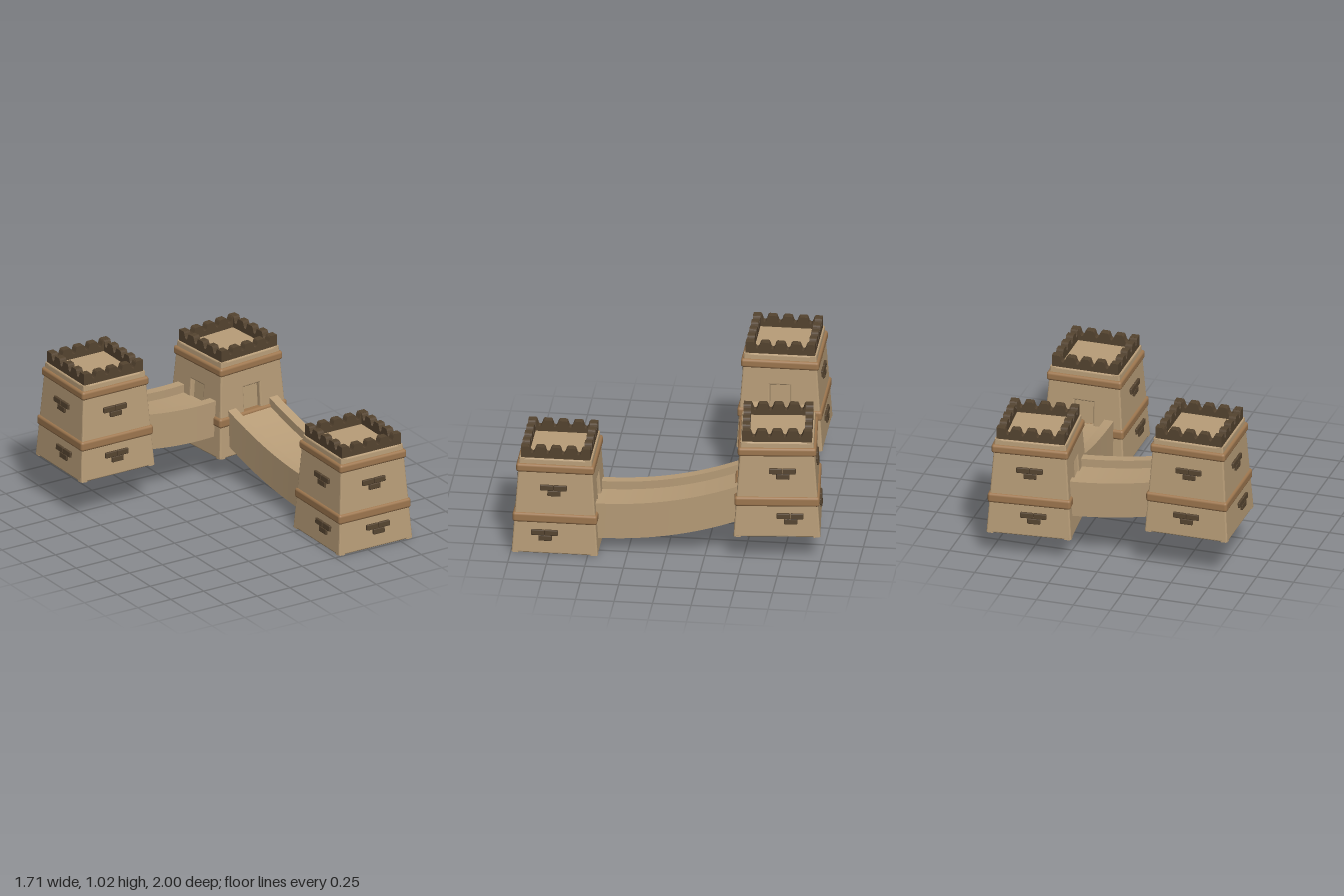
import * as THREE from 'three';
import { RoundedBoxGeometry } from 'three/addons/geometries/RoundedBoxGeometry.js';

const mat = (name, color, side = THREE.FrontSide) => {
  const m = new THREE.MeshStandardMaterial({ color, side });
  m.name = name;
  return m;
};

const BASE = 0.28, TOP = 0.235, H = 0.655;      // tower half widths and height
const SLOPE = Math.atan((BASE - TOP) / H);

export function createModel() {
  const sand = mat('sandstone', 0xb89d78, THREE.DoubleSide);
  const trim = mat('brown trim', 0x9e774f);
  const dark = mat('dark brick', 0x554430);

  const add = (parent, geo, material, name, x = 0, y = 0, z = 0) => {
    const mesh = new THREE.Mesh(geo, material);
    mesh.name = name;
    mesh.position.set(x, y, z);
    parent.add(mesh);
    return mesh;
  };

  // Tapered wall slab, with an optional doorway cut through it
  const wallGeometry = (door) => {
    const s = new THREE.Shape();
    s.moveTo(-BASE, 0).lineTo(BASE, 0).lineTo(TOP, H).lineTo(-TOP, H).closePath();
    if (door) {
      const h = new THREE.Path();
      h.moveTo(-0.065, 0.25).lineTo(-0.065, 0.445).lineTo(0.065, 0.445).lineTo(0.065, 0.25).closePath();
      s.holes.push(h);
    }
    const b = 0.01;
    const g = new THREE.ExtrudeGeometry(s, {
      depth: 0.03, bevelEnabled: true, bevelSize: b, bevelThickness: b, bevelOffset: -b, bevelSegments: 3,
    });
    return g.translate(0, 0, -0.04);
  };

  // Battlement wall with four scooped notches
  const battlementGeometry = () => {
    const s = new THREE.Shape();
    const top = 0.09, low = 0.045, w = 0.06;
    s.moveTo(0.225, 0).lineTo(0.225, top);
    let x = 0.18;
    for (let i = 0; i < 4; i++) {
      s.lineTo(x, top);
      s.bezierCurveTo(x - 0.016, top, x - 0.012, low, x - w / 2, low);
      s.bezierCurveTo(x - w + 0.012, low, x - w + 0.016, top, x - w, top);
      x -= w + 0.04;
    }
    s.lineTo(-0.225, top).lineTo(-0.225, 0).closePath();
    return new THREE.ExtrudeGeometry(s, { depth: 0.048, bevelEnabled: false, curveSegments: 6 });
  };

  const plainWall = wallGeometry(false), doorWall = wallGeometry(true);
  const battlement = battlementGeometry();
  const brick = new RoundedBoxGeometry(0.086, 0.038, 0.03, 2, 0.006);

  // Three bricks: two side by side, one below
  const brickGroup = (wall, x, y) => {
    const g = new THREE.Group();
    g.name = 'exposedBricks';
    g.position.set(x, y, 0);
    wall.add(g);
    add(g, brick, dark, 'brickLeft', -0.044, 0);
    add(g, brick, dark, 'brickRight', 0.044, 0);
    add(g, brick, dark, 'brickLower', 0.004, -0.037);
  };

  // sides run front, right (+x), back, left (-x); null marks a doorway,
  // otherwise the offsets of the upper and lower brick groups
  const tower = (name, [x, y, z], turn, sides) => {
    const t = new THREE.Group();
    t.name = name;
    t.position.set(x, y, z);
    t.rotation.y = turn;

    const inset = 0.032;
    const core = new THREE.CylinderGeometry((TOP - inset) * Math.SQRT2, (BASE - inset) * Math.SQRT2, H - 0.003, 4, 1);
    core.rotateY(Math.PI / 4);
    const flat = core.toNonIndexed();
    flat.computeVertexNormals();
    add(t, flat, sand, 'towerCore', 0, H / 2, 0);

    sides.forEach((bricks, k) => {
      const side = new THREE.Group();
      side.name = 'towerSide';
      side.rotation.y = k * Math.PI / 2;
      t.add(side);
      const wall = add(side, bricks ? plainWall : doorWall, sand, bricks ? 'wall' : 'wallWithDoorway', 0, 0, BASE);
      wall.rotation.x = -SLOPE;
      if (bricks) {
        brickGroup(wall, bricks[0], 0.458);
        brickGroup(wall, bricks[1], 0.147);
      }
      add(side, battlement, dark, 'battlement', 0, 0.64, 0.177);
    });

    add(t, new RoundedBoxGeometry(0.55, 0.068, 0.55, 3, 0.018), trim, 'lowerBand', 0, 0.244, 0);
    add(t, new RoundedBoxGeometry(0.508, 0.06, 0.508, 3, 0.018), trim, 'upperBand', 0, 0.587, 0);
    return t;
  };

  // Curved walkway: a U-shaped section swept along the path of its rail tops
  const bridge = (name, a, b, c) => {
    const curve = (t) => [0, 1, 2].map((i) => (1 - t) ** 2 * a[i] + 2 * t * (1 - t) * b[i] + t * t * c[i]);
    const section = [[-0.2, -0.245], [0.2, -0.245], [0.2, 0], [0.136, 0],
      [0.136, -0.055], [-0.136, -0.055], [-0.136, 0], [-0.2, 0]];
    const N = 24, pos = [], idx = [];
    section.forEach((p, e) => {
      const q = section[(e + 1) % section.length];
      const first = pos.length / 3;
      for (let i = 0; i <= N; i++) {
        const t = -0.03 + 1.06 * i / N;
        const o = curve(t), n = curve(t + 0.01);
        const dx = n[0] - o[0], dz = n[2] - o[2], len = Math.hypot(dx, dz);
        for (const [u, v] of [p, q]) pos.push(o[0] - u * dz / len, o[1] + v, o[2] + u * dx / len);
        if (i < N) {
          const k = first + i * 2;
          idx.push(k, k + 2, k + 3, k, k + 3, k + 1);
        }
      }
    });
    const g = new THREE.BufferGeometry();
    g.setAttribute('position', new THREE.Float32BufferAttribute(pos, 3));
    g.setIndex(idx);
    g.computeVertexNormals();
    const mesh = new THREE.Mesh(g, sand);
    mesh.name = name;
    return mesh;
  };

  const model = new THREE.Group();
  model.name = 'bridgedTowers';
  model.add(
    tower('highTower', [-0.565, 0.287, -0.61], 0, [[-0.008, -0.008], null, [0.01, 0], [0, 0.06]]),
    tower('cornerTower', [0.5, 0.172, -0.695], 0.095, [null, [0.034, 0.085], [0, 0.03], null]),
    tower('lowTower', [0.565, 0.002, 0.715], 0, [[0, 0.018], [-0.01, -0.065], null, [0.03, 0.08]]),
    bridge('upperBridge', [-0.3, 0.606, -0.615], [-0.02, 0.553, -0.635], [0.24, 0.553, -0.667]),
    bridge('lowerBridge', [0.527, 0.492, -0.44], [0.56, 0.337, -0.02], [0.56, 0.337, 0.45]),
  );
  return model;
}
